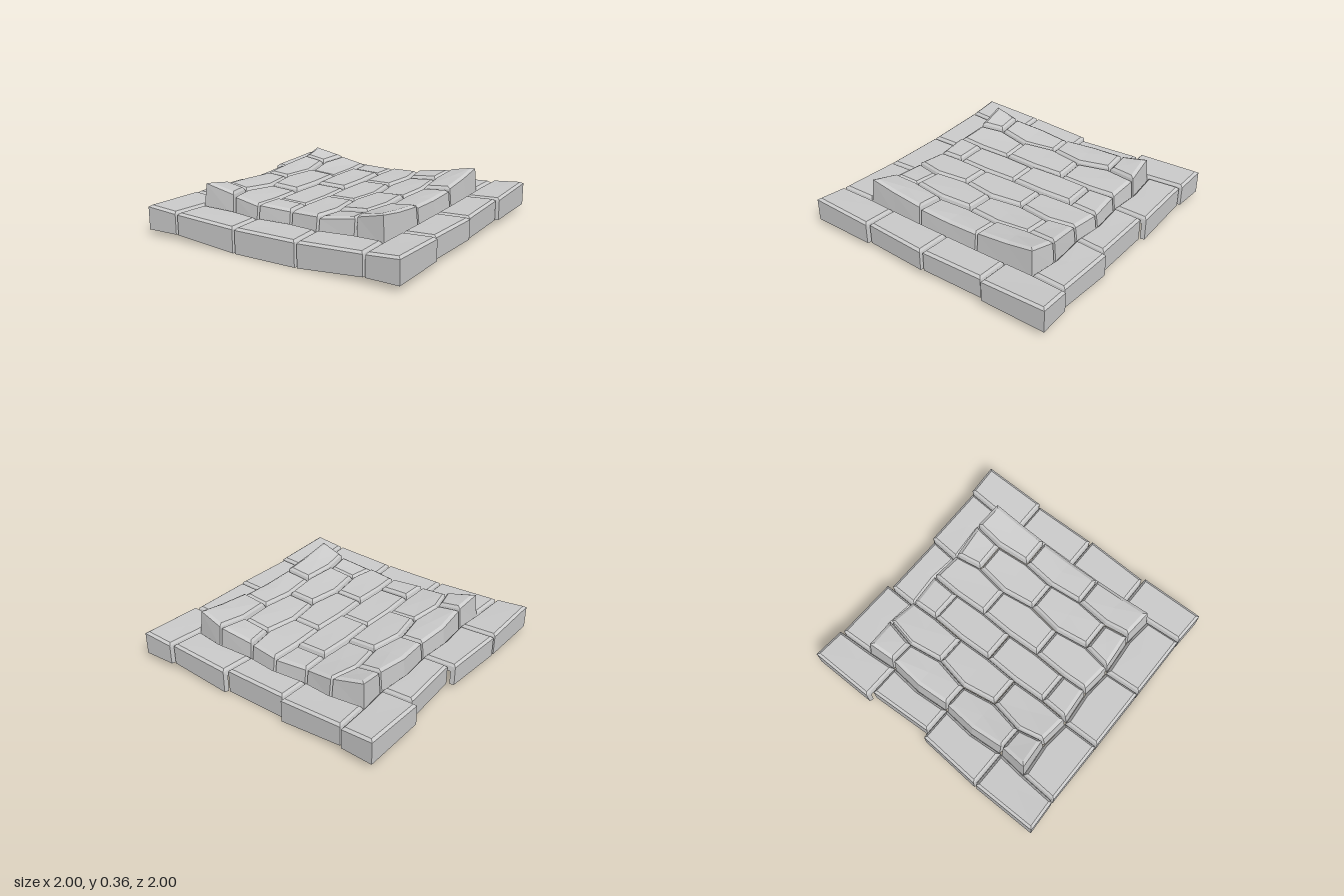
import * as THREE from 'three';

const material = new THREE.MeshStandardMaterial({ color: 0xcccccc, flatShading: true, side: THREE.DoubleSide });

// Joint crossings: seven zigzag lines along z, each crossing seven levels
const zigzag = [-0.01, 0.022, -0.005, 0.005, -0.018, 0.012, 0];
function node(line, level) {
  const base = THREE.MathUtils.clamp((line - 3) * 0.25, -0.725, 0.735);
  const x = base + zigzag[line] * (level % 2 ? -1 : 1);
  let z = THREE.MathUtils.clamp((level - 3) * 0.25, -0.725, 0.71);
  if (level % 6 === 0) z += line % 2 ? -0.012 : 0.01;
  return [x, z];
}

// Moves every edge of an outline inward by its own distance
function inset(pts, dist) {
  const n = pts.length;
  const normal = (i) => {
    const [ax, az] = pts[i], [bx, bz] = pts[(i + 1) % n];
    const len = Math.hypot(bx - ax, bz - az);
    return [(az - bz) / len, (bx - ax) / len];
  };
  return pts.map(([x, z], i) => {
    const h = (i + n - 1) % n;
    const [ax, az] = normal(h), [bx, bz] = normal(i);
    const det = ax * bz - az * bx;
    if (Math.abs(det) < 0.5) {
      const d = (dist[h] + dist[i]) / 2;
      return [x + (ax + bx) / 2 * d, z + (az + bz) / 2 * d];
    }
    return [x + (dist[h] * bz - az * dist[i]) / det, z + (ax * dist[i] - dist[h] * bx) / det];
  });
}

// A hollow bevelled stone; its outer edges carry a tall skirt
function stone(name, outline, { isOuter, top, bottom, lean, bevel }) {
  const n = outline.length;
  const area = outline.reduce((s, [x, z], i) => {
    const [u, w] = outline[(i + 1) % n];
    return s + x * w - u * z;
  }, 0);
  const pts = area < 0 ? [...outline].reverse() : outline;
  const outer = pts.map((p, i) => isOuter(p, pts[(i + 1) % n]));
  const ring = (outerD, jointD, y) =>
    inset(pts, outer.map((o) => (o ? outerD : jointD))).map(([x, z]) => [x, y(x, z), z]);
  const floor = ring(lean + 0.03, 0, (x, z) => top(x, z) - 0.05);
  const shoulder = ring(lean, 0.01, (x, z) => top(x, z) - 0.016);
  const crown = ring(lean + bevel, 0.025, top);
  const foot = ring(0, 0.01, bottom);
  const drop = ([x, , z]) => [x, bottom(x, z), z];

  const pos = [];
  const tri = (a, b, c) => pos.push(...a, ...b, ...c);
  const quad = (a0, b0, b1, a1) => { tri(a0, b0, b1); tri(a0, b1, a1); };
  const centre = [0, 1, 2].map((k) => crown.reduce((s, p) => s + p[k], 0) / n);
  for (let i = 0; i < n; i++) {
    const j = (i + 1) % n;
    tri(centre, crown[j], crown[i]);
    quad(shoulder[i], crown[i], crown[j], shoulder[j]);
    if (!outer[i]) {
      quad(floor[i], shoulder[i], shoulder[j], floor[j]);
      continue;
    }
    quad(foot[i], shoulder[i], shoulder[j], foot[j]);
    // Returns into the upright joints beside the skirt
    if (!outer[(i + n - 1) % n]) quad(drop(floor[i]), floor[i], shoulder[i], foot[i]);
    if (!outer[j]) quad(foot[j], shoulder[j], floor[j], drop(floor[j]));
  }
  const geometry = new THREE.BufferGeometry();
  geometry.setAttribute('position', new THREE.Float32BufferAttribute(pos, 3));
  geometry.computeVertexNormals();
  const mesh = new THREE.Mesh(geometry, material);
  mesh.name = name;
  return mesh;
}

// Raised paving: six columns of staggered stones, dished towards the centre
function createPaving() {
  const paving = new THREE.Group();
  paving.name = 'raisedPaving';
  for (let c = 0; c < 6; c++) {
    const cuts = c % 2 ? [0, 2, 4, 6] : [0, 1, 3, 5, 6];
    for (let r = 0; r < cuts.length - 1; r++) {
      const pts = [];
      for (let l = cuts[r]; l <= cuts[r + 1]; l++) pts.push(node(c + 1, l));
      for (let l = cuts[r + 1]; l >= cuts[r]; l--) pts.push(node(c, l));
      const lift = 0.008 * Math.sin(c * 5.3 + r * 2.9);
      paving.add(stone('pavingStone', pts, {
        isOuter: (a, b) => [0, 1].some((k) => Math.abs(a[k]) > 0.68 && Math.abs(b[k]) > 0.68 && a[k] * b[k] > 0),
        top: (x, z) => 0.262 + lift + 0.03 * (x / 0.7) ** 2 + 0.058 * (x * z / 0.47) ** 2,
        bottom: () => 0.14,
        lean: 0.015, bevel: 0.025,
      }));
    }
  }
  return paving;
}

// Border kerb: corner stones, three stones front and back, two on each side
function createKerb() {
  const kerb = new THREE.Group();
  kerb.name = 'borderKerb';
  const onRim = (p) => Math.max(Math.abs(p[0]), Math.abs(p[1])) > 0.85;
  const shape = {
    isOuter: (a, b) => onRim(a) && onRim(b),
    top: (x, z) => 0.178 + 0.022 * x * x + 0.024 * x * x * z * z,
    bottom: (x) => 0.042 * THREE.MathUtils.clamp((Math.abs(x) - 0.25) / 0.5, 0, 1),
    lean: 0, bevel: 0.02,
  };
  const add = (name, pts) => kerb.add(stone(name, pts, shape));

  const backZ = [-0.975, -0.94, -0.97];
  for (let k = 0; k < 3; k++) {
    const x = k * 0.5 - 0.75;
    const inner = (level) => [2, 1, 0].map((i) => node(2 * k + i, level));
    add('backStone', [[x, backZ[k]], [x + 0.5, backZ[k]], ...inner(0)]);
    add('frontStone', [[x, 0.99], [x + 0.5, 0.99], ...inner(6)]);
  }

  const rightX = [[-0.95, -0.92], [-0.97, -1]];
  const leftX = [[0.98, 0.99], [1, 0.98]];
  for (let k = 0; k < 2; k++) {
    const z = k * 0.5 - 0.5;
    const inner = (line) => [3, 2, 1].map((i) => node(line, 2 * k + i));
    add('rightStone', [[rightX[k][0], z], [rightX[k][1], z + 0.5], ...inner(0)]);
    add('leftStone', [[leftX[k][0], z], [leftX[k][1], z + 0.5], ...inner(6)]);
  }

  for (const sx of [-1, 1]) for (const sz of [-1, 1]) {
    const line = 3 + 3 * sx, level = 3 + 3 * sz;
    add('cornerStone', [
      [sx, sz], [sx * 0.75, sz * 0.99], node(line, level), node(line, level - sz), [sx, sz * 0.5],
    ]);
  }
  return kerb;
}

export function createModel() {
  const model = new THREE.Group();
  model.name = 'stonePlatform';
  model.add(createPaving(), createKerb());
  return model;
}
